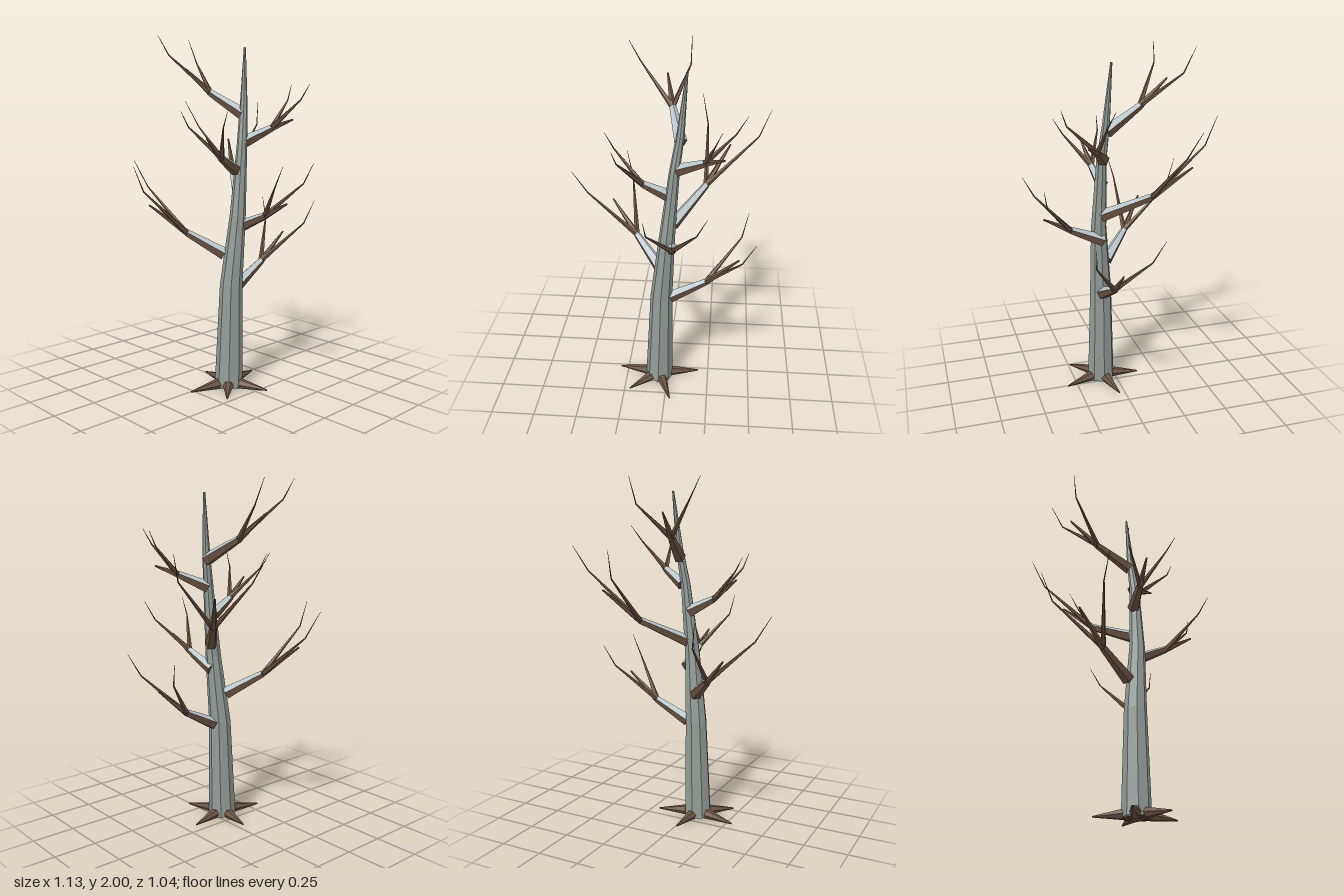
import * as THREE from 'three';

function paint(name, color) {
  const m = new THREE.MeshStandardMaterial({ color });
  m.name = name;
  return m;
}
const bark = paint('grey bark', 0x939b97);
const frost = paint('pale branch top', 0xbac5ca);
const wood = paint('brown wood', 0x6c5546);

// Faceted tapering limb along a path; sides [from, to) only, caps optional
function limb(path, radii, sides, { ref = [0, 1, 0], from = 0, to = sides, phase = 0, caps = true } = {}) {
  const pts = path.map((p) => new THREE.Vector3(...p));
  const up = new THREE.Vector3(...ref);
  const rings = pts.map((p, k) => {
    const t = pts[Math.min(k + 1, pts.length - 1)].clone().sub(pts[Math.max(k - 1, 0)]).normalize();
    const u = t.clone().cross(up).normalize();
    const v = u.clone().cross(t);
    return Array.from({ length: sides }, (_, i) => {
      const a = phase + (i / sides) * Math.PI * 2;
      return p.clone()
        .addScaledVector(u, Math.cos(a) * radii[k])
        .addScaledVector(v, Math.sin(a) * radii[k]);
    });
  });
  const tris = [];
  const last = rings.length - 1;
  for (let i = 0; i < sides; i++) {
    const j = (i + 1) % sides;
    if (i >= from && i < to) {
      for (let k = 0; k < last; k++) {
        const a = rings[k], b = rings[k + 1];
        tris.push(a[i], b[i], b[j], a[i], b[j], a[j]);
      }
    }
    if (caps) {
      tris.push(pts[0], rings[0][i], rings[0][j]);
      tris.push(pts[last], rings[last][j], rings[last][i]);
    }
  }
  const g = new THREE.BufferGeometry().setFromPoints(tris);
  g.computeVertexNormals();
  return g;
}

function add(parent, name, geometry, material) {
  const m = new THREE.Mesh(geometry, material);
  m.name = name;
  parent.add(m);
  return m;
}

// Each branch: base, fork, middle twig tip, then bend and tip of both side twigs
const BRANCHES = [
  [[-0.05, 0.775, 0.05], [-0.195, 0.895, -0.103], [-0.353, 1.055, -0.245],
    [-0.247, 1.14, -0.388], [-0.292, 1.29, -0.455], [-0.483, 1.15, -0.124], [-0.565, 1.29, -0.1]],
  [[0.03, 1.075, 0.09], [0.205, 1.215, -0.14], [0.338, 1.4, -0.315],
    [0.2, 1.48, -0.44], [0.165, 1.635, -0.524], [0.495, 1.49, -0.218], [0.562, 1.635, -0.273]],
  [[0.07, 1.56, 0.08], [0.013, 1.68, -0.127], [-0.028, 1.82, -0.297],
    [0.1, 1.86, -0.345], [0.1, 2.0, -0.415], [-0.174, 1.89, -0.273], [-0.24, 2.0, -0.29]],
  [[0.02, 0.595, 0.09], [0.223, 0.7, 0.08], [0.41, 0.855, 0.085],
    [0.423, 0.92, -0.07], [0.46, 1.05, -0.133], [0.423, 0.92, 0.236], [0.495, 1.05, 0.255]],
  [[0.055, 1.405, 0.095], [0.205, 1.48, 0.167], [0.308, 1.53, 0.242],
    [0.36, 1.64, 0.155], [0.42, 1.73, 0.13], [0.256, 1.64, 0.34], [0.292, 1.73, 0.376]],
  [[0.025, 0.925, 0.09], [0.04, 1.01, 0.28], [0.047, 1.09, 0.433],
    [-0.08, 1.19, 0.458], [-0.088, 1.3, 0.518], [0.177, 1.19, 0.436], [0.232, 1.3, 0.46]],
  [[0.01, 1.25, 0.09], [-0.13, 1.325, 0.112], [-0.262, 1.44, 0.136],
    [-0.295, 1.495, 0.03], [-0.344, 1.58, 0.024], [-0.25, 1.495, 0.25], [-0.268, 1.58, 0.3]],
];

const ROOT_TIPS = [[0.19, 0.04], [0.03, 0.315], [-0.216, 0.245], [-0.295, 0.036], [-0.022, -0.138]];

export function createModel() {
  const tree = new THREE.Group();
  tree.name = 'bareTree';

  // Leaning trunk with a brown underside
  add(tree, 'trunk', limb(
    [[-0.05, 0.012, 0.088], [-0.034, 0.6, 0.09], [0, 1, 0.108], [0.04, 1.4, 0.1], [0.07, 1.6, 0.082], [0.1, 1.93, 0.06]],
    [0.081, 0.064, 0.045, 0.029, 0.022, 0.006], 8, { ref: [0, 0, 1] }), bark);
  const underside = add(tree, 'trunkUnderside', new THREE.CircleGeometry(0.08, 8), wood);
  underside.rotation.x = Math.PI / 2;
  underside.position.set(-0.05, 0.007, 0.088);

  // Branches: pale ridge on top, brown below, splitting into three twigs
  for (const [base, fork, mid, bendA, tipA, bendB, tipB] of BRANCHES) {
    const branch = new THREE.Group();
    branch.name = 'branch';
    const r = [0.037, 0.021];
    const phase = Math.PI / 10;
    add(branch, 'branchTop', limb([base, fork], r, 5, { to: 2, phase, caps: false }), frost);
    add(branch, 'branchUnderside', limb([base, fork], r, 5, { from: 2, phase }), wood);
    add(branch, 'middleTwig', limb([fork, mid], [0.02, 0.005], 5, { phase }), wood);
    for (const [bend, tip] of [[bendA, tipA], [bendB, tipB]]) {
      add(branch, 'sideTwig', limb([fork, bend, tip], [0.016, 0.004, 0.001], 5, { phase }), wood);
    }
    tree.add(branch);
  }

  // Spreading roots
  for (const [x, z] of ROOT_TIPS) {
    const start = [-0.05 + (x + 0.05) * 0.15, 0.032, 0.088 + (z - 0.088) * 0.15];
    add(tree, 'root', limb([start, [x, 0.018, z]], [0.036, 0.004], 6), wood);
  }
  return tree;
}
